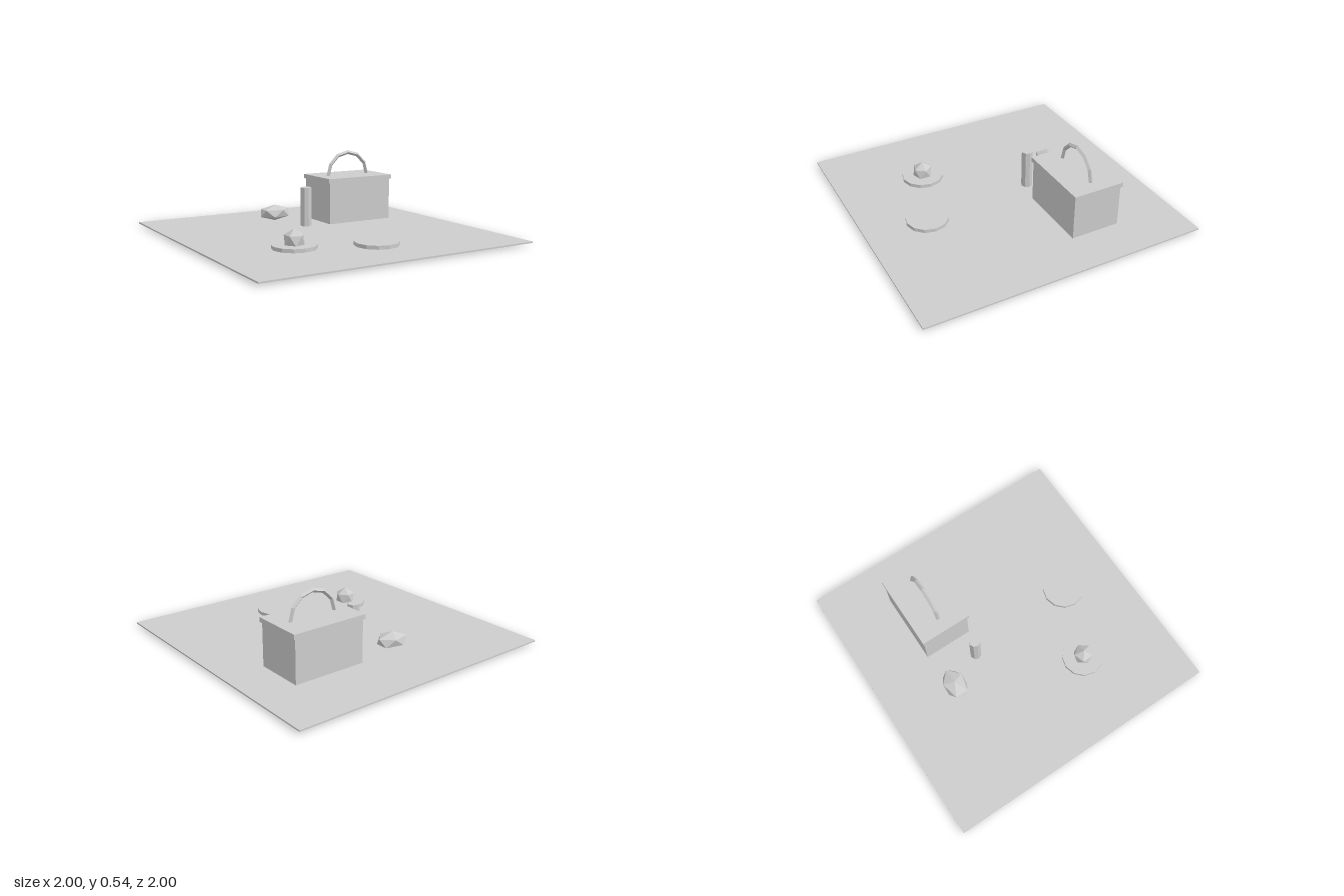
import * as THREE from 'three';

// Pole-up icosahedron built from two offset rings of five points.
function icoGeometry() {
  const h = 1 / Math.sqrt(5), r = 2 / Math.sqrt(5), p = [0, 1, 0];
  for (let i = 0; i < 5; i++) { // upper ring, first point on +x
    const a = i * Math.PI * 0.4;
    p.push(r * Math.cos(a), h, r * Math.sin(a));
  }
  for (let i = 0; i < 5; i++) { // lower ring, turned half a step
    const a = (i + 0.5) * Math.PI * 0.4;
    p.push(r * Math.cos(a), -h, r * Math.sin(a));
  }
  p.push(0, -1, 0);
  const idx = [];
  for (let i = 0; i < 5; i++) {
    const j = (i + 1) % 5, u = 1 + i, v = 1 + j, l = 6 + i, m = 6 + j;
    idx.push(0, v, u, u, v, l, v, m, l, l, m, 11);
  }
  const g = new THREE.BufferGeometry();
  g.setAttribute('position', new THREE.Float32BufferAttribute(p, 3));
  g.setIndex(idx);
  const flat = g.toNonIndexed();
  flat.computeVertexNormals();
  return flat;
}

export function createModel() {
  const group = new THREE.Group();
  const grey = new THREE.MeshStandardMaterial({ color: 0xcccccc, flatShading: true });
  grey.name = 'plain grey';

  const add = (name, geometry, x, y, z, parent = group) => {
    const mesh = new THREE.Mesh(geometry, grey);
    mesh.name = name;
    mesh.position.set(x, y, z);
    parent.add(mesh);
    return mesh;
  };

  // Blanket
  const top = 0.0225;
  add('blanket', new THREE.BoxGeometry(2, 0.01, 2), 0, top - 0.005, 0);

  // Basket with lid and arched handle
  const basket = new THREE.Group();
  basket.name = 'basket';
  basket.position.set(0.435, 0, -0.374);
  group.add(basket);
  add('basketBody', new THREE.BoxGeometry(0.525, 0.305, 0.35), 0, top + 0.1525, 0, basket);
  add('basketLid', new THREE.BoxGeometry(0.55, 0.032, 0.368), 0, 0.341, 0, basket);
  add('basketHandle', new THREE.TorusGeometry(0.172, 0.015, 4, 6, Math.PI), 0, 0.354, 0, basket);

  // Plates
  const plate = new THREE.CylinderGeometry(0.148, 0.148, 0.025, 12);
  for (const [name, x, z] of [['fruitPlate', -0.44, 0.375], ['emptyPlate', 0.062, 0.56]]) {
    add(name, plate, x, top + 0.0125, z);
  }

  // Bottle
  add('bottle', new THREE.CylinderGeometry(0.04, 0.04, 0.28, 8), 0, top + 0.14, -0.25);

  // Fruit on the plate, and a stretched loaf beside the bottle
  const ico = icoGeometry();
  add('fruit', ico, -0.44, 0.075, 0.375).scale.setScalar(0.075);
  add('loaf', ico, -0.125, 0.093, -0.502).scale.set(0.127, 0.058, 0.088);

  return group;
}
